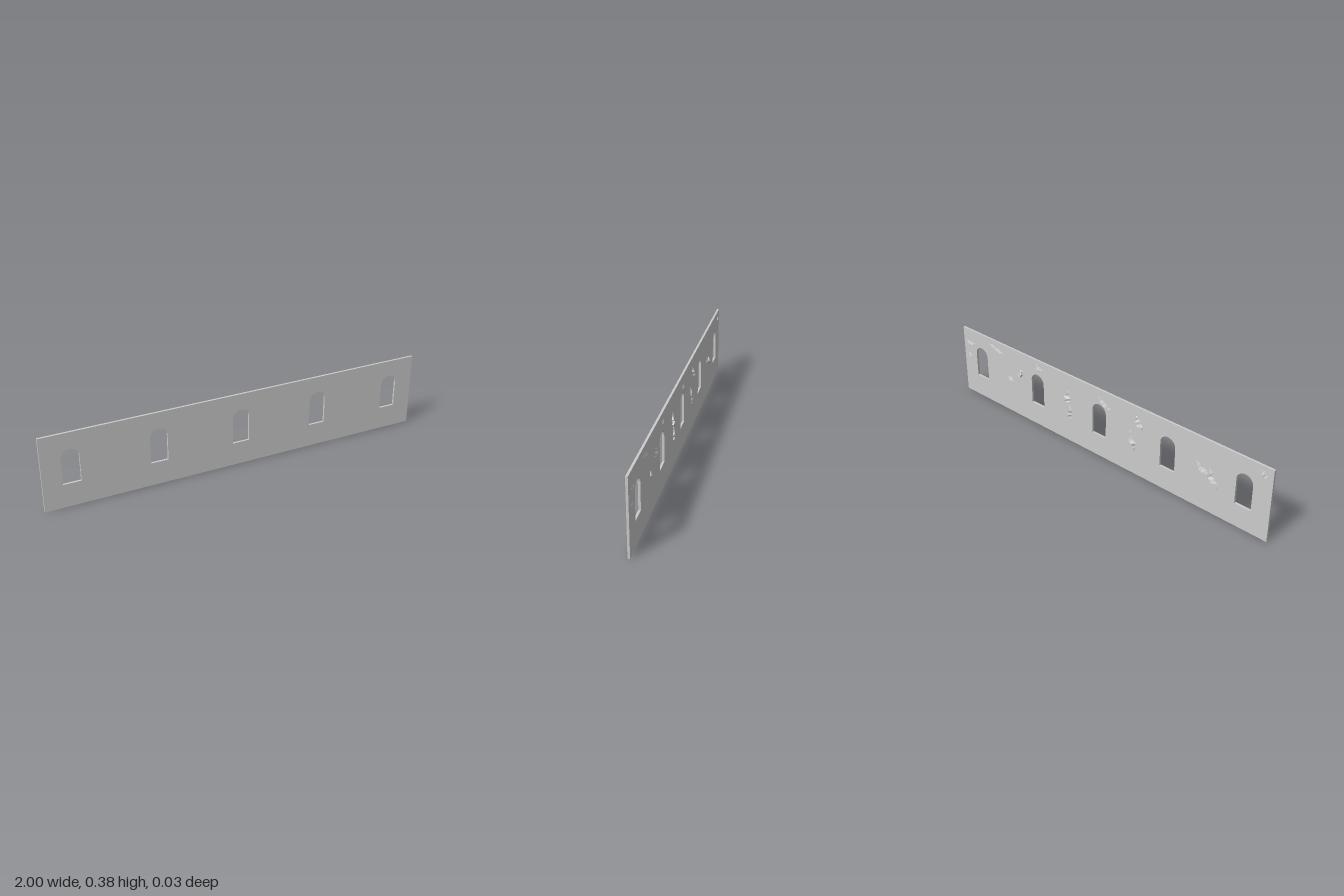
import * as THREE from 'three';

const BACK = 0.004, FRONT = 0.015;      // wall faces along z
const LENGTH = 2, HEIGHT = 0.38;

const stone = new THREE.MeshStandardMaterial({ color: 0xcccccc });
const brokenStone = new THREE.MeshStandardMaterial({
  color: 0xcccccc, flatShading: true, side: THREE.DoubleSide,
});

function seeded(seed) {
  return () => {
    seed = (seed * 16807) % 2147483647;
    return seed / 2147483647;
  };
}

// round-headed opening
function archHole(cx) {
  const r = 0.044, sill = 0.12, spring = 0.252;
  const hole = new THREE.Path();
  hole.moveTo(cx - r, sill);
  hole.lineTo(cx - r, spring);
  hole.absarc(cx, spring, r, Math.PI, 0, true);
  hole.lineTo(cx + r, sill);
  hole.closePath();
  return hole;
}

function makeWall() {
  const shape = new THREE.Shape();
  shape.moveTo(-LENGTH / 2, 0);
  shape.lineTo(LENGTH / 2, 0);
  shape.lineTo(LENGTH / 2, HEIGHT);
  shape.lineTo(-LENGTH / 2, HEIGHT);
  shape.closePath();
  for (let i = -2; i <= 2; i++) shape.holes.push(archHole(i * 0.43));
  const geometry = new THREE.ExtrudeGeometry(shape, {
    depth: FRONT - BACK, bevelEnabled: false, curveSegments: 12,
  });
  geometry.translate(0, 0, BACK);
  const wall = new THREE.Mesh(geometry, stone);
  wall.name = 'wall';
  return wall;
}

// jagged ridge of chipped plaster: gentle slope on one side, steep break on the other
function makeChip([x0, y0, x1, y1, width, rise], index) {
  const random = seeded(977 + index * 131);
  const steps = 8, positions = [], faces = [];
  const along = new THREE.Vector2(x1 - x0, y1 - y0);
  const side = new THREE.Vector2(-along.y, along.x).normalize();
  for (let i = 0; i <= steps; i++) {
    const t = i / steps;
    const taper = Math.sin(Math.PI * t);
    const wander = (random() - 0.5) * width * 0.9;
    const lift = rise * taper * (0.45 + 0.55 * random());
    const w = width * (0.15 + 0.85 * taper);
    for (const [offset, height] of [[-w * 0.6, 0], [-w * 0.1, lift * 0.55], [w * 0.25, lift], [w * 0.4, 0]]) {
      positions.push(
        x0 + along.x * t + side.x * (offset + wander),
        y0 + along.y * t + side.y * (offset + wander),
        BACK - height,
      );
    }
    if (i === steps) continue;
    for (let j = 0; j < 3; j++) {
      const a = i * 4 + j, b = a + 4;
      faces.push(a, a + 1, b, a + 1, b + 1, b);
    }
  }
  const geometry = new THREE.BufferGeometry();
  geometry.setAttribute('position', new THREE.Float32BufferAttribute(positions, 3));
  geometry.setIndex(faces);
  geometry.computeVertexNormals();
  const chip = new THREE.Mesh(geometry, brokenStone);
  chip.name = `plasterChip${index + 1}`;
  return chip;
}

export function createModel() {
  const group = new THREE.Group();
  group.name = 'arcadeWall';
  group.add(makeWall());

  // start x, start y, end x, end y, width, rise
  const chips = [
    [0.985, 0.305, 0.91, 0.30, 0.018, 0.008],
    [0.975, 0.23, 0.935, 0.225, 0.014, 0.006],
    [0.80, 0.345, 0.68, 0.32, 0.018, 0.008],
    [0.66, 0.215, 0.61, 0.18, 0.024, 0.010],
    [0.57, 0.23, 0.54, 0.28, 0.024, 0.011],
    [0.44, 0.35, 0.39, 0.325, 0.022, 0.008],
    [0.225, 0.29, 0.205, 0.215, 0.024, 0.013],
    [0.21, 0.215, 0.195, 0.12, 0.022, 0.011],
    [0.01, 0.335, -0.075, 0.285, 0.022, 0.009],
    [-0.23, 0.325, -0.28, 0.27, 0.024, 0.018],
    [-0.19, 0.235, -0.23, 0.13, 0.026, 0.012],
    [-0.59, 0.235, -0.67, 0.19, 0.026, 0.012],
    [-0.66, 0.235, -0.72, 0.14, 0.024, 0.013],
    [-0.93, 0.35, -0.975, 0.33, 0.020, 0.010],
  ];
  const plaster = new THREE.Group();
  plaster.name = 'brokenPlaster';
  chips.forEach((chip, i) => plaster.add(makeChip(chip, i)));
  group.add(plaster);
  return group;
}
